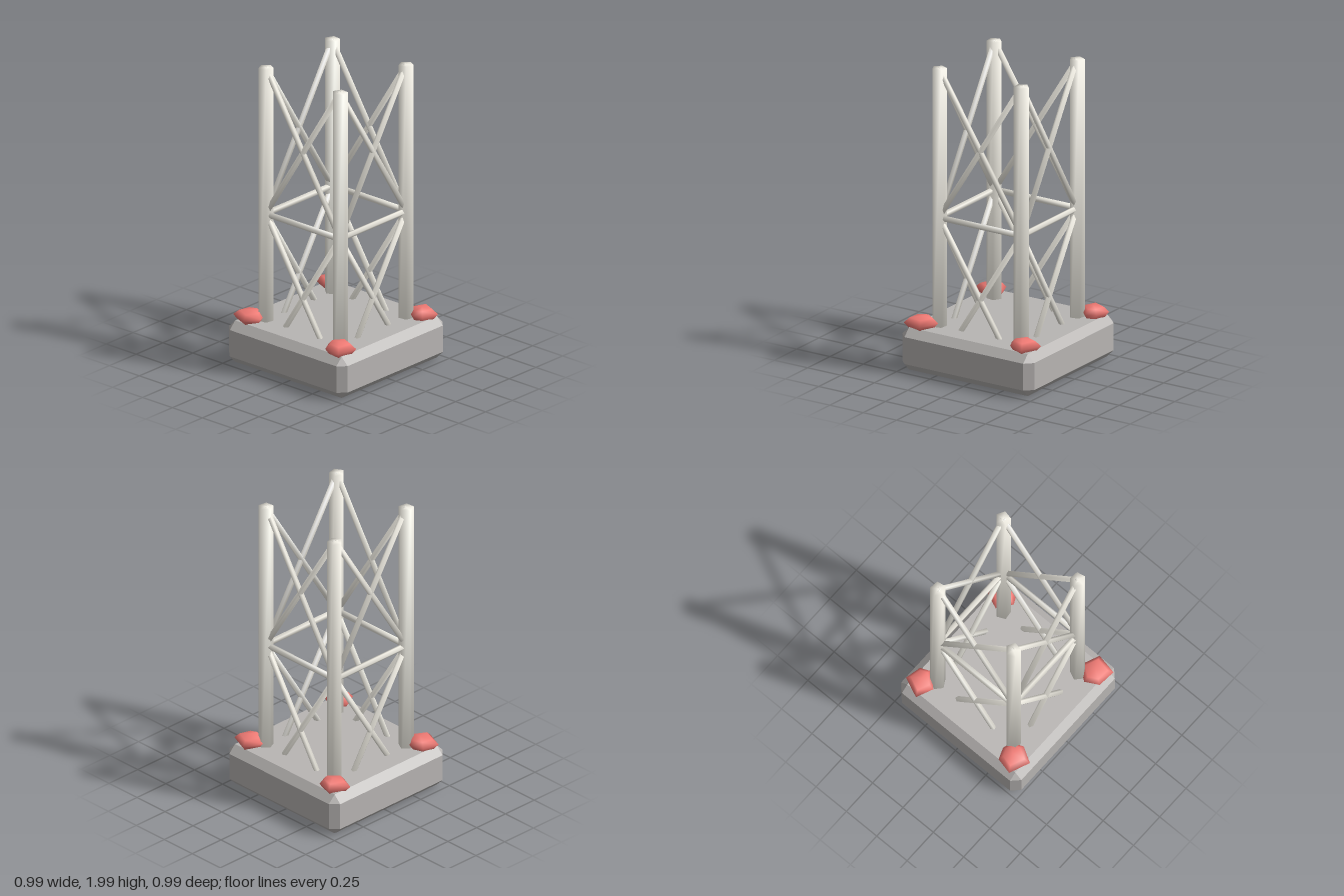
import * as THREE from 'three';
import { mergeVertices } from 'three/addons/utils/BufferGeometryUtils.js';
import { ConvexGeometry } from 'three/addons/geometries/ConvexGeometry.js';

const metal = new THREE.MeshStandardMaterial({ color: 0xf4f1e7 });
const stone = new THREE.MeshStandardMaterial({ color: 0xb8b5b3, flatShading: true });
const red = new THREE.MeshStandardMaterial({ color: 0xf07a74 });
const V = (x, y, z) => new THREE.Vector3(x, y, z);

// five-sided rod between two points, its normals leaning outward at both ends
function rod(name, a, b, radius, turn = 0) {
  const dir = b.clone().sub(a);
  const geo = new THREE.CylinderGeometry(radius, radius, dir.length(), 5, 1);
  geo.rotateY(turn);
  const { position, normal } = geo.attributes;
  const k = 1.6 / radius;
  for (let i = 0; i < position.count; i++) {
    const n = V(position.getX(i) * k, Math.sign(position.getY(i)), position.getZ(i) * k).normalize();
    normal.setXYZ(i, n.x, n.y, n.z);
  }
  const mesh = new THREE.Mesh(geo, metal);
  mesh.name = name;
  mesh.position.copy(a).add(b).multiplyScalar(0.5);
  mesh.quaternion.setFromUnitVectors(V(0, 1, 0), dir.normalize());
  return mesh;
}

// box with every edge and corner cut
function chamferedBox(hx, hy, hz, c) {
  const pts = [];
  for (const x of [-1, 1]) for (const y of [-1, 1]) for (const z of [-1, 1]) {
    pts.push(V(x * hx, y * (hy - c), z * (hz - c)));
    pts.push(V(x * (hx - c), y * hy, z * (hz - c)));
    pts.push(V(x * (hx - c), y * (hy - c), z * hz));
  }
  return new ConvexGeometry(pts);
}

// soft-shaded lump from its widest outline
function lump(outline) {
  const n = outline.length;
  const cx = outline.reduce((s, p) => s + p[0], 0) / n;
  const cz = outline.reduce((s, p) => s + p[1], 0) / n;
  const pts = [V(cx, 0.357, cz)];
  for (const [x, z] of outline) {
    for (const [k, y] of [[0.7, 0.276], [1, 0.316], [0.68, 0.347]]) {
      pts.push(V(cx + (x - cx) * k, y, cz + (z - cz) * k));
    }
  }
  let geo = new ConvexGeometry(pts);
  geo.deleteAttribute('normal');
  geo = mergeVertices(geo);
  geo.computeVertexNormals();
  return geo;
}

export function createModel() {
  const model = new THREE.Group();
  model.name = 'latticeTower';

  // base block
  const base = new THREE.Mesh(chamferedBox(0.495, 0.139, 0.495, 0.05), stone);
  base.name = 'base';
  base.position.y = 0.149;
  model.add(base);

  // corner posts
  const r = 0.309;
  const posts = new THREE.Group();
  posts.name = 'posts';
  for (const x of [-r, r]) for (const z of [-r, r]) {
    const turn = Math.PI + (x * z > 0 ? -0.2 : 0.2);
    posts.add(rod('post', V(x, 0.008, z), V(x, 1.99, z), 0.05, turn));
  }
  model.add(posts);

  // four braced sides: two crossed bays and two horizontal struts each
  for (let i = 0; i < 4; i++) {
    const side = new THREE.Group();
    side.name = 'bracedSide';
    for (const y of [0.02, 1.003]) {
      side.add(rod('horizontalStrut', V(-r, y, r), V(r, y, r), 0.02));
      side.add(rod('diagonalStrut', V(-r, y, r), V(r, y + 0.983, r), 0.019));
      side.add(rod('diagonalStrut', V(r, y, r), V(-r, y + 0.983, r), 0.019));
    }
    side.rotation.y = i * Math.PI / 2;
    model.add(side);
  }

  // red lumps on the base corners
  const outlines = [
    [[-0.48, 0.45], [-0.343, 0.476], [-0.29, 0.35], [-0.383, 0.283], [-0.47, 0.33]],
    [[0.284, 0.383], [0.313, 0.444], [0.42, 0.476], [0.475, 0.341], [0.353, 0.29]],
    [[-0.425, -0.48], [-0.316, -0.455], [-0.287, -0.378], [-0.303, -0.317], [-0.38, -0.288], [-0.48, -0.346]],
    [[0.343, -0.48], [0.475, -0.423], [0.451, -0.317], [0.385, -0.288], [0.295, -0.37]],
  ];
  for (const outline of outlines) {
    const mesh = new THREE.Mesh(lump(outline), red);
    mesh.name = 'cornerLamp';
    model.add(mesh);
  }
  return model;
}
